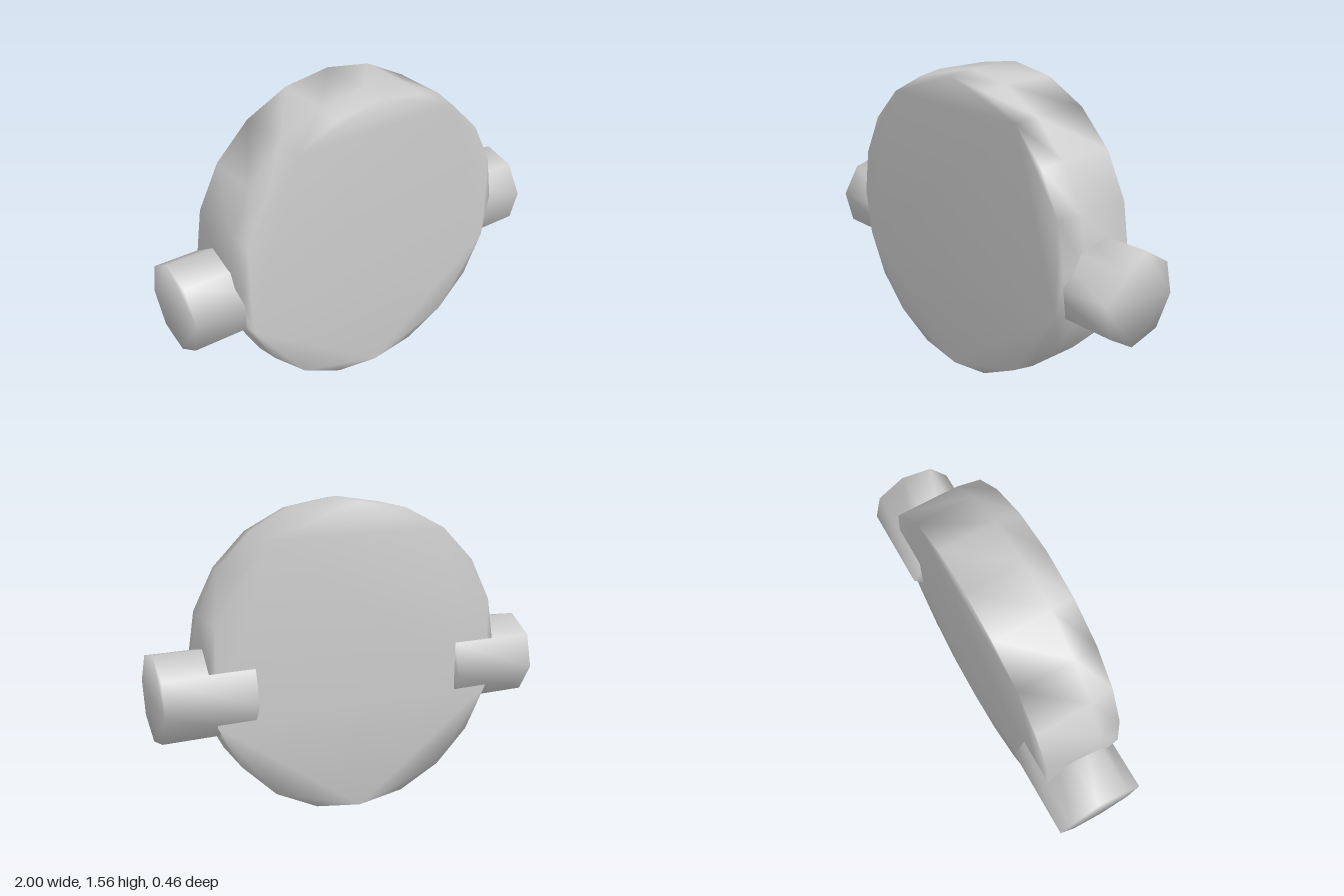
import * as THREE from 'three';

const material = new THREE.MeshStandardMaterial({ color: 0xcccccc });

// Closed prism along z from [radius, z] rings, back to front, with shared smooth normals
function loft(rings, sides, turn) {
  const positions = [], index = [], outline = [];
  for (let i = 0; i < sides; i++) {
    const a = turn + (i / sides) * Math.PI * 2;
    outline.push(new THREE.Vector2(-Math.sin(a), Math.cos(a)));
  }
  for (const [r, z] of rings) {
    for (const p of outline) positions.push(p.x * r, p.y * r, z);
  }
  // Side walls
  for (let k = 0; k < rings.length - 1; k++) {
    for (let i = 0; i < sides; i++) {
      const a = k * sides + i, b = k * sides + (i + 1) % sides;
      index.push(a, b, b + sides, a, b + sides, a + sides);
    }
  }
  // Flat end caps
  const front = (rings.length - 1) * sides;
  for (const [a, b, c] of THREE.ShapeUtils.triangulateShape(outline, [])) {
    index.push(c, b, a, front + a, front + b, front + c);
  }
  const geometry = new THREE.BufferGeometry();
  geometry.setAttribute('position', new THREE.Float32BufferAttribute(positions, 3));
  geometry.setIndex(index);
  geometry.computeVertexNormals();
  return geometry;
}

export function createModel() {
  const group = new THREE.Group();

  // Round body with a slight taper at the front rim
  const body = new THREE.Mesh(loft([[0.78, -0.18], [0.78, 0.11], [0.76, 0.23]], 20, 0), material);
  body.name = 'discBody';
  body.position.y = 0.785;
  group.add(body);

  // Eight-sided side pegs, slightly rotated about their axis
  const pegGeometry = loft([[0.225, -0.225], [0.225, 0.225]], 8, THREE.MathUtils.degToRad(-8.5));
  pegGeometry.rotateY(Math.PI / 2);
  for (const [side, name] of [[1, 'leftPeg'], [-1, 'rightPeg']]) {
    const peg = new THREE.Mesh(pegGeometry, material);
    peg.name = name;
    peg.position.set(side * 0.775, 0.672, -0.007);
    group.add(peg);
  }

  return group;
}
